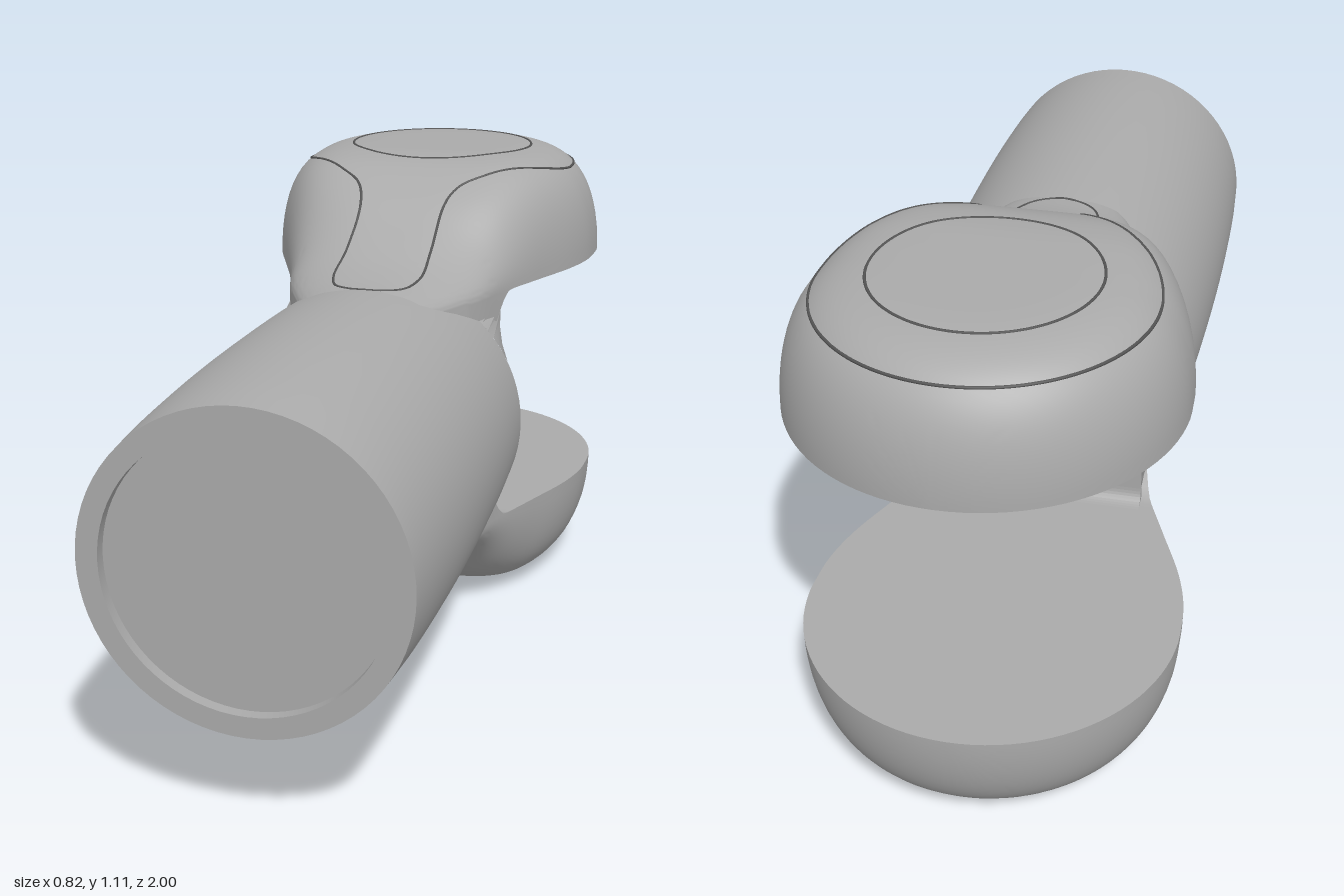
import * as THREE from 'three';
import { toCreasedNormals } from 'three/addons/utils/BufferGeometryUtils.js';

const MID = 0.555, FLOOR = 0.285, HUB_Z = -0.59, HUB_R = 0.41, WALL_Z = -0.14;

// Smooth interpolation through [z, value] keys in ascending z
function spline(keys) {
  const it = new THREE.CubicInterpolant(keys.map(k => k[0]), keys.map(k => k[1]), 1, new Float32Array(1));
  return z => it.evaluate(z)[0];
}
const barrelRadius = spline([[0, 0.331], [0.2, 0.34], [0.6, 0.345], [0.9, 0.337], [1, 0.33]]);
const prongTop = spline([[-0.6, 0.555], [-0.5, 0.555], [-0.4, 0.552], [-0.3, 0.535], [-0.2, 0.49],
  [-0.1, 0.42], [0, 0.37], [0.1, 0.345], [0.17, 0.337]]);
const neckWidth = spline([[-0.6, 0.41], [-0.5, 0.404], [-0.4, 0.38], [-0.25, 0.32], [-0.11, 0.263],
  [0, 0.228], [0.17, 0.15]]);

function prongWidth(z) {
  if (z >= HUB_Z) return neckWidth(z);
  return Math.sqrt(Math.max(0, HUB_R ** 2 - (z - HUB_Z) ** 2));
}

// Height of the prong's domed surface above the barrel axis
function prongHeight(x, z) {
  const hub = z < HUB_Z;
  const t = Math.min(1, hub ? Math.hypot(x, z - HUB_Z) / HUB_R : Math.abs(x) / neckWidth(z));
  const n = THREE.MathUtils.lerp(2.2, 6, THREE.MathUtils.smoothstep(-z, 0, 0.35));
  const top = hub ? MID : prongTop(z);
  return FLOOR + (top - FLOOR) * Math.sqrt(Math.max(0, 1 - t ** n));
}

function surfaceHeight(x, z) {
  const barrel = z > 0 ? Math.sqrt(barrelRadius(z) ** 2 - x * x) : 0;
  return Math.max(barrel, z < 0.17 ? prongHeight(x, z) : 0);
}

// Skin closed loops that run counter-clockwise and are stacked from front to back
function loft(rows) {
  const n = rows[0].length, index = [];
  for (let i = 0; i < rows.length - 1; i++) {
    for (let j = 0; j < n; j++) {
      const a = i * n + j, b = i * n + (j + 1) % n;
      index.push(a, a + n, b, b, a + n, b + n);
    }
  }
  const geo = new THREE.BufferGeometry();
  geo.setAttribute('position', new THREE.Float32BufferAttribute(rows.flat(2), 3));
  geo.setIndex(index);
  return toCreasedNormals(geo, 0.7);
}

function prongGeometry() {
  const zs = [];
  for (let i = 0; i <= 38; i++) zs.push(THREE.MathUtils.lerp(0.17, HUB_Z, i / 38));
  for (let i = 1; i <= 24; i++) zs.push(HUB_Z - HUB_R * Math.sin(i / 24 * Math.PI / 2));
  return loft(zs.map(z => {
    const w = prongWidth(z);
    // the skirt drops into the barrel in front of the slot
    const skirt = FLOOR - 0.1 * THREE.MathUtils.smoothstep(z, WALL_Z, -0.04);
    const row = [[w, skirt, z]];
    for (let j = 0; j <= 48; j++) {
      const x = w * Math.cos(j / 48 * Math.PI);
      row.push([x, prongHeight(x, z), z]);
    }
    row.push([-w, skirt, z]);
    return row;
  }));
}

// Round barrel end shrinking to the rectangular slot wall
function neckGeometry() {
  const loop = (f, z) => Array.from({ length: 96 }, (_, j) => [...f(j / 96 * Math.PI * 2), z]);
  const clamp = THREE.MathUtils.clamp;
  return loft([
    loop(a => [0.331 * Math.cos(a), 0.331 * Math.sin(a)], 0),
    loop(a => [clamp(0.38 * Math.cos(a), -0.25, 0.25), clamp(0.38 * Math.sin(a), -FLOOR, FLOOR)], WALL_Z),
    loop(() => [0, 0], WALL_Z),
  ]);
}

// Barrel with a shallow recess in its front end
function barrelGeometry() {
  const pts = [];
  for (let i = 0; i <= 20; i++) pts.push(new THREE.Vector2(barrelRadius(i / 20), i / 20));
  pts.push(new THREE.Vector2(0.285, 1), new THREE.Vector2(0.285, 0.975), new THREE.Vector2(0, 0.975));
  return toCreasedNormals(new THREE.LatheGeometry(pts, 72).rotateX(Math.PI / 2), 0.7);
}

// Small rounded fillet in the corner of the slot
function filletGeometry() {
  const s = new THREE.Shape();
  s.moveTo(WALL_Z + 0.01, FLOOR + 0.01);
  s.lineTo(WALL_Z - 0.035, FLOOR + 0.01);
  s.lineTo(WALL_Z - 0.035, FLOOR);
  s.quadraticCurveTo(WALL_Z, FLOOR, WALL_Z, FLOOR - 0.035);
  s.lineTo(WALL_Z + 0.01, FLOOR - 0.035);
  s.closePath();
  const geo = new THREE.ExtrudeGeometry(s, { depth: 0.5, bevelEnabled: false, curveSegments: 8 });
  return geo.rotateY(-Math.PI / 2).translate(0.25, 0, 0);
}

// Thin seam line laid on the surface along a closed plan path of [x, z]
function seamGeometry(path) {
  const plan = new THREE.CatmullRomCurve3(path.map(([x, z]) => new THREE.Vector3(x, 0, z)), true, 'centripetal');
  const pts = plan.getSpacedPoints(160).slice(0, -1);
  pts.forEach(p => { p.y = surfaceHeight(p.x, p.z) - 0.001; });
  return new THREE.TubeGeometry(new THREE.CatmullRomCurve3(pts, true), 240, 0.0035, 6, true);
}

export function createModel() {
  const grey = new THREE.MeshStandardMaterial({ color: 0xaaaaaa });
  grey.name = 'body grey';
  const dark = new THREE.MeshStandardMaterial({ color: 0x555555 });
  dark.name = 'seam grey';

  const model = new THREE.Group();
  model.name = 'forkJoint';
  const body = new THREE.Group();
  body.name = 'body';
  body.position.y = MID;
  model.add(body);

  const add = (parent, name, geo, mat = grey) => {
    const mesh = new THREE.Mesh(geo, mat);
    mesh.name = name;
    parent.add(mesh);
  };
  add(body, 'barrel', barrelGeometry());
  add(body, 'neck', neckGeometry());

  // Upper and lower prongs, the lower turned half round the barrel axis
  const prong = prongGeometry(), fillet = filletGeometry();
  for (const [name, turn] of [['upper', 0], ['lower', Math.PI]]) {
    const side = new THREE.Group();
    side.name = name + 'Prong';
    side.rotation.z = turn;
    add(side, name + 'ProngShell', prong);
    add(side, name + 'SlotFillet', fillet);
    body.add(side);
  }

  // Seams on the upper prong: keyhole panel outline and round cap
  const half = [];
  for (let i = 1; i <= 12; i++) {
    const a = i / 12 * 2.3;
    half.push([0.34 * Math.sin(a), HUB_Z - 0.34 * Math.cos(a)]);
  }
  half.push([0.18, -0.285], [0.125, -0.23], [0.102, -0.17], [0.1, -0.05], [0.1, 0.065], [0.071, 0.136]);
  const mirrored = half.map(([x, z]) => [-x, z]).reverse();
  add(body, 'panelSeam', seamGeometry([[0, HUB_Z - 0.34], ...half, [0, 0.165], ...mirrored]), dark);
  const ring = Array.from({ length: 24 }, (_, i) => {
    const a = i / 24 * Math.PI * 2;
    return [0.23 * Math.cos(a), HUB_Z + 0.23 * Math.sin(a)];
  });
  add(body, 'capSeam', seamGeometry(ring), dark);

  return model;
}
